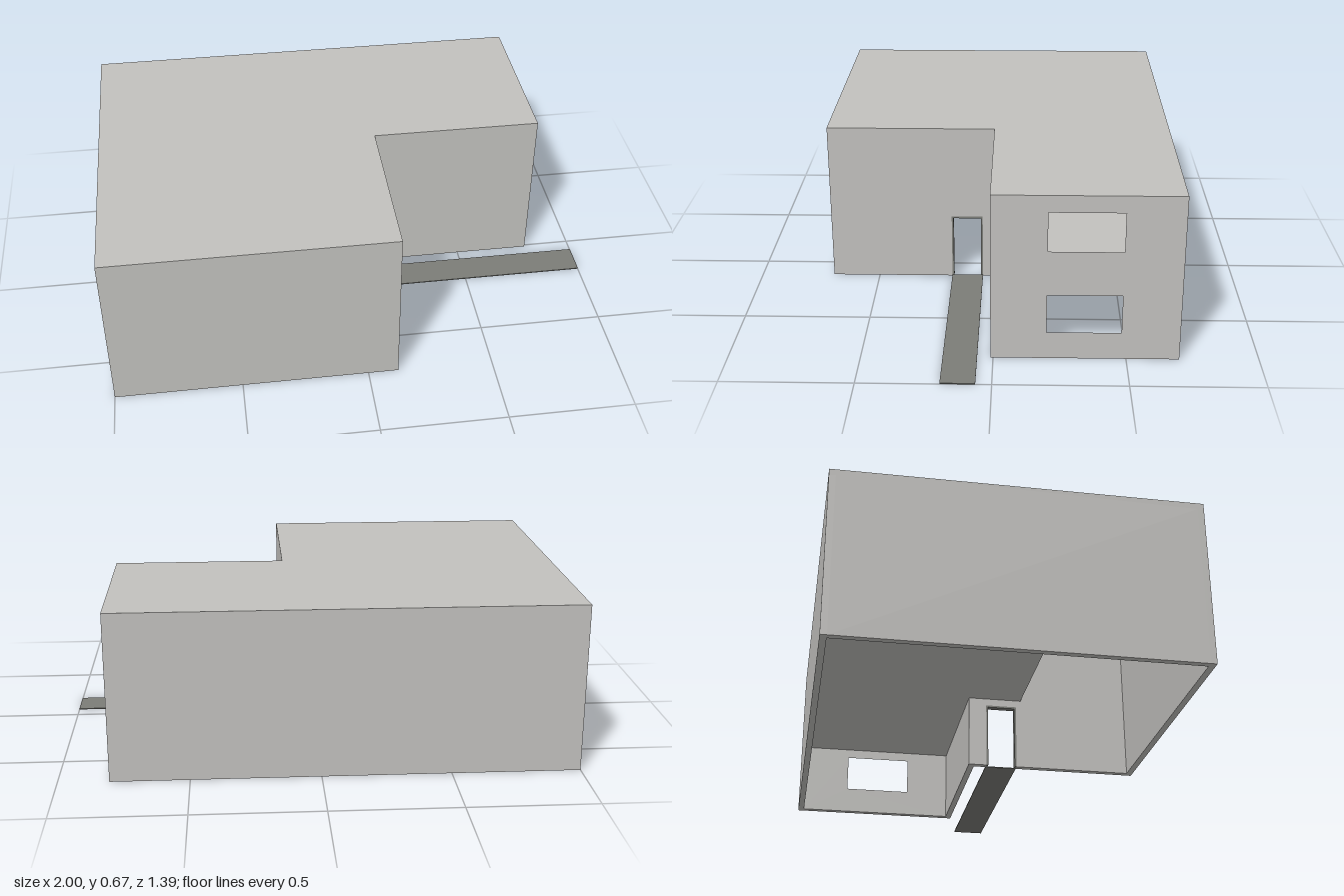
import * as THREE from 'three';

const T = 0.025;              // wall thickness
const H = 0.665;              // building height
const X0 = -1, X1 = 0.12, X2 = 0.805;    // left side, inner corner, wing end
const Z0 = -0.7, Z1 = 0.01, Z2 = 0.695;  // back, inner corner, front

export function createModel() {
  const group = new THREE.Group();
  const plaster = new THREE.MeshStandardMaterial({ color: 0xc2c1be });
  plaster.name = 'pale plaster';
  const slate = new THREE.MeshStandardMaterial({ color: 0x7c7d78 });
  slate.name = 'dark slate';

  const add = (name, geometry, material = plaster) => {
    const mesh = new THREE.Mesh(geometry, material);
    mesh.name = name;
    group.add(mesh);
    return mesh;
  };
  // Box given by its two opposite corners
  const box = (name, [ax, ay, az], [bx, by, bz], material) =>
    add(name, new THREE.BoxGeometry(bx - ax, by - ay, bz - az), material)
      .position.set((ax + bx) / 2, (ay + by) / 2, (az + bz) / 2);
  const polygon = (points, Kind = THREE.Shape) =>
    new Kind(points.map(([x, y]) => new THREE.Vector2(x, y)));

  // Horizontal slab: outline in x, z, lying between y and y + depth
  const slab = (name, outline, y, depth) => {
    const flip = outline.map(([x, z]) => [x, -z]);
    const geo = new THREE.ExtrudeGeometry(polygon(flip), { depth, bevelEnabled: false });
    geo.rotateX(-Math.PI / 2);
    add(name, geo).position.y = y;
  };
  // Right-facing wall: outline and holes in z, y, outer face at x
  const sideWall = (name, outline, holes, x) => {
    const flip = (pts) => pts.map(([z, y]) => [-z, y]);
    const shape = polygon(flip(outline));
    holes.forEach((h) => shape.holes.push(polygon(flip(h), THREE.Path)));
    const geo = new THREE.ExtrudeGeometry(shape, { depth: T, bevelEnabled: false });
    geo.rotateY(Math.PI / 2);
    add(name, geo).position.x = x - T;
  };

  // Flat roof
  const top = H - T;
  slab('roof', [[X0, Z0], [X2, Z0], [X2, Z1], [X1, Z1], [X1, Z2], [X0, Z2]], top, T);

  // Plain outer walls
  box('backWall', [X0, 0, Z0], [X2, top, Z0 + T]);
  box('leftWall', [X0, 0, Z0 + T], [X0 + T, top, Z2 - T]);
  box('frontWall', [X0, 0, Z2 - T], [X1, top, Z2]);
  box('wingFrontWall', [X1 - T, 0, Z1 - T], [X2, top, Z1]);

  // Wing end wall with one window opening per storey
  const windowHole = (y) => [[-0.48, y], [-0.2, y], [-0.2, y + 0.155], [-0.48, y + 0.155]];
  sideWall('wingEndWall',
    [[Z0 + T, 0], [Z1 - T, 0], [Z1 - T, top], [Z0 + T, top]],
    [windowHole(0.11), windowHole(0.443)], X2);

  // Entrance wall, notched for the doorway
  const D0 = 0.06, D1 = 0.19, DH = 0.275;
  sideWall('entranceWall',
    [[Z1, 0], [D0, 0], [D0, DH], [D1, DH], [D1, 0], [Z2 - T, 0], [Z2 - T, top], [Z1, top]],
    [], X1);

  // Door frame
  const F = 0.008;
  for (const z of [D0, D1 - F]) {
    box('doorJamb', [X1 - T, 0, z], [X1, DH - F, z + F], slate);
  }
  box('doorHead', [X1 - T, DH - F, D0], [X1, DH, D1], slate);

  // Upper floor, open above the front right corner of the hall
  const SX = -0.45, SZ = 0.21, floorY = 0.305;
  slab('upperFloor', [
    [X0 + T, Z0 + T], [X2 - T, Z0 + T], [X2 - T, Z1 - T], [X1 - T, Z1 - T],
    [X1 - T, SZ], [SX, SZ], [SX, Z2 - T], [X0 + T, Z2 - T],
  ], floorY, T);
  box('stairwellPartition', [SX - T, floorY + T, SZ], [SX, top, Z2 - T]);

  // Path to the entrance
  box('path', [X1, 0, D0], [1, 0.004, D1], slate);

  return group;
}
